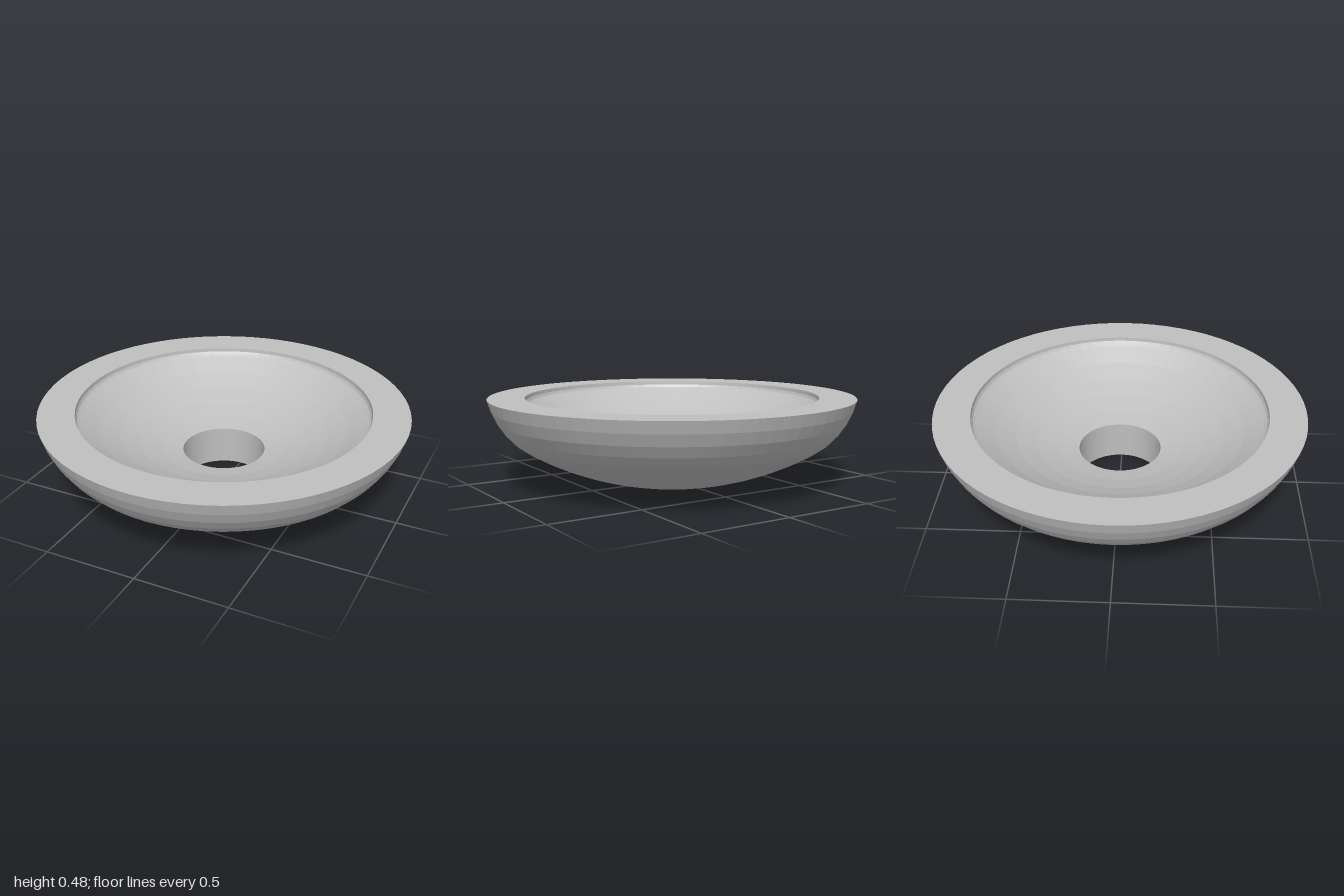
import * as THREE from 'three';

const SEGMENTS = 72;
const CENTRE_Y = 1.584; // shared centre of the two shallow bowl arcs

// Points along a shallow spherical arc between two radii from the axis
function bowlArc(R, r0, r1, steps) {
  const a0 = Math.asin(r0 / R), a1 = Math.asin(r1 / R);
  return Array.from({ length: steps + 1 }, (_, i) => {
    const a = a0 + (a1 - a0) * i / steps;
    return new THREE.Vector2(R * Math.sin(a), CENTRE_Y - R * Math.cos(a));
  });
}

const toPoints = (pairs) => pairs.map(([x, y]) => new THREE.Vector2(x, y));

export function createModel() {
  const grey = new THREE.MeshStandardMaterial({ color: 0xbfbfbf, flatShading: true });
  grey.name = 'plain grey';

  const group = new THREE.Group();
  group.name = 'dish';
  const addRing = (name, points) => {
    const mesh = new THREE.Mesh(new THREE.LatheGeometry(points, SEGMENTS), grey);
    mesh.name = name;
    group.add(mesh);
  };

  const underside = bowlArc(1.6, 0.225, 0.8, 6);
  const basin = bowlArc(1.39, 0.225, 0.775, 5).reverse();
  const side = toPoints([[0.86, 0.24], [0.91, 0.292], [0.95, 0.35], [0.98, 0.412], [1, 0.475]]);
  const lip = toPoints([[0.8, 0.475], [0.798, 0.455], [0.79, 0.441]]);

  // Outer shell from the hole up to the rim
  addRing('outerShell', [...underside, ...side]);
  // Flat top rim
  addRing('rim', [side.at(-1), lip[0]]);
  // Rounded inner lip and shallow basin
  addRing('basin', [...lip, ...basin]);
  // Straight wall of the centre hole
  addRing('holeWall', [basin.at(-1), underside[0]]);

  return group;
}
